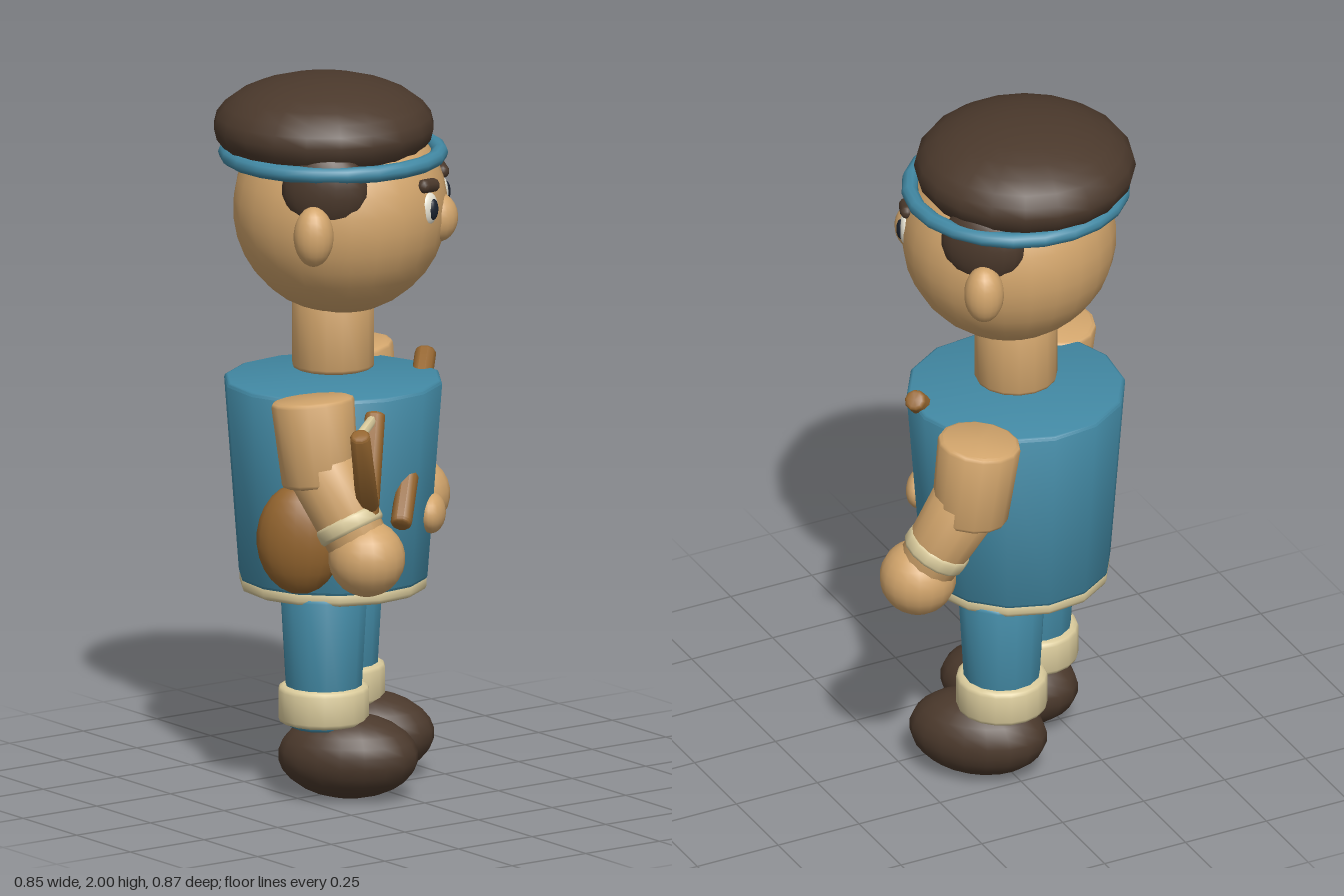
import * as THREE from 'three';
import { toCreasedNormals } from 'three/addons/utils/BufferGeometryUtils.js';

const material = (name, color) => {
  const m = new THREE.MeshStandardMaterial({ color });
  m.name = name;
  return m;
};

export function createModel() {
  const skin = material('skin', 0xd2a56c);
  const blue = material('blue cloth', 0x4289a4);
  const dark = material('dark brown', 0x4b392c);
  const cream = material('cream trim', 0xdacb9c);
  const wood = material('wood', 0x94652f);
  const white = material('eye white', 0xe8e4d4);
  const black = material('pupil', 0x1b2330);

  const model = new THREE.Group();
  model.name = 'figure';
  // the figure is built facing +z, then turned half way to its left
  const body = new THREE.Group();
  body.name = 'body';
  body.rotation.y = Math.PI / 4;
  model.add(body);

  const add = (name, geometry, mat, pos = [0, 0, 0], parent = body) => {
    const mesh = new THREE.Mesh(geometry, mat);
    mesh.name = name;
    mesh.position.set(...pos);
    parent.add(mesh);
    return mesh;
  };

  const ellipsoid = (name, mat, pos, radii, parent = body, seg = 18) => {
    const g = new THREE.SphereGeometry(1, seg, Math.round(seg * 0.7));
    g.scale(...radii);
    return add(name, g, mat, pos, parent);
  };

  // tapered cylinder with small rounded rims, running from point a to point b
  const limb = (name, mat, a, b, ra, rb, bevel = 0.012, seg = 14) => {
    const from = new THREE.Vector3(...a), to = new THREE.Vector3(...b);
    const dir = to.clone().sub(from), h = dir.length(), k = bevel * 0.3;
    const profile = [
      [0, 0], [ra - bevel, 0], [ra - k, k], [ra, bevel],
      [rb, h - bevel], [rb - k, h - k], [rb - bevel, h], [0, h],
    ].map(([x, y]) => new THREE.Vector2(x, y));
    const g = toCreasedNormals(new THREE.LatheGeometry(profile, seg), 0.9);
    const mesh = add(name, g, mat, a);
    mesh.quaternion.setFromUnitVectors(new THREE.Vector3(0, 1, 0), dir.normalize());
    return mesh;
  };

  // torso, hem and neck
  const cz = -0.106;
  limb('torso', blue, [0, 0.59, cz], [0, 1.152, cz], 0.262, 0.303, 0.01, 14);
  limb('hem', cream, [0, 0.56, cz], [0, 0.605, cz], 0.26, 0.26, 0.014, 14);
  limb('neck', skin, [0, 1.18, cz], [0, 1.4, cz], 0.114, 0.114, 0.012, 16);
  ellipsoid('buckle', skin, [0, 0.778, 0.168], [0.066, 0.056, 0.038]);

  // head, cap and headband
  const hz = -0.086;
  ellipsoid('head', skin, [0, 1.634, hz], [0.296, 0.296, 0.296], body, 24);
  ellipsoid('cap', dark, [0, 1.86, -0.132], [0.305, 0.14, 0.305], body, 20);
  const band = add('headband', new THREE.TorusGeometry(0.293, 0.023, 10, 22), blue, [0, 1.786, cz]);
  band.rotation.x = Math.PI / 2;
  ellipsoid('nose', skin, [0.004, 1.612, 0.184], [0.056, 0.069, 0.056]);

  for (const s of [-1, 1]) {
    const side = s > 0 ? 'left' : 'right';

    // face and sides of the head
    ellipsoid(side + 'Ear', skin, [s * 0.307, 1.617, -0.112], [0.056, 0.084, 0.055]);
    ellipsoid(side + 'SideHair', dark, [s * 0.245, 1.735, -0.09], [0.064, 0.115, 0.12]);
    const face = new THREE.Group();
    face.name = side + 'EyeGroup';
    face.position.set(0, 1.66, hz);
    face.rotation.y = s * 0.385;
    body.add(face);
    ellipsoid(side + 'Eye', white, [0, 0, 0.283], [0.036, 0.046, 0.02], face);
    ellipsoid(side + 'Pupil', black, [0, 0, 0.297], [0.019, 0.03, 0.013], face);
    const brow = add(side + 'Brow', new THREE.CapsuleGeometry(0.02, 0.045, 4, 10), dark,
      [0, 0.065, 0.282], face);
    brow.rotation.z = Math.PI / 2 + s * 0.12;

    // arms
    const shoulder = [s * 0.34, 1.168, -0.11], elbow = [s * 0.355, 0.93, -0.085];
    limb(side + 'UpperArm', skin, shoulder, elbow, 0.115, 0.106);
    limb(side + 'Forearm', skin, [s * 0.355, 0.99, -0.085], [s * 0.394, 0.76, 0.035], 0.1, 0.084);
    limb(side + 'WristBand', cream, [s * 0.378, 0.848, -0.012], [s * 0.386, 0.805, 0.012], 0.094, 0.094);
    ellipsoid(side + 'Hand', skin, [s * 0.396, 0.737, 0.05], [0.106, 0.106, 0.106]);

    // legs
    limb(side + 'Leg', blue, [s * 0.14, 0.2, -0.11], [s * 0.14, 0.58, -0.11], 0.1, 0.12);
    limb(side + 'Cuff', cream, [s * 0.14, 0.213, -0.11], [s * 0.14, 0.318, -0.11], 0.126, 0.126, 0.014, 18);
    ellipsoid(side + 'Shoe', dark, [s * 0.14, 0.12, -0.042], [0.134, 0.119, 0.195]);
  }

  // shoulder strap, mostly hidden inside the torso, and its bag
  limb('strap', wood, [-0.252, 0.8, 0.122], [0.213, 1.185, 0.118], 0.03, 0.03, 0.01, 10);
  ellipsoid('bag', wood, [-0.31, 0.765, -0.15], [0.08, 0.155, 0.12]);

  // slingshot in the right hand
  const sx = -0.395, sz = 0.052, tipY = 1.115;
  limb('slingshotHandle', wood, [sx, 0.7, sz], [sx, 0.92, sz], 0.032, 0.032, 0.008, 10);
  for (const s of [-1, 1]) {
    limb('slingshotProng', wood, [sx, 0.88, sz], [sx + s * 0.135, tipY, sz], 0.032, 0.028, 0.008, 10);
    limb('slingshotString', cream, [sx + s * 0.132, tipY - 0.008, sz], [sx, 1.075, sz - 0.025],
      0.014, 0.014, 0.004, 8);
  }

  return model;
}
